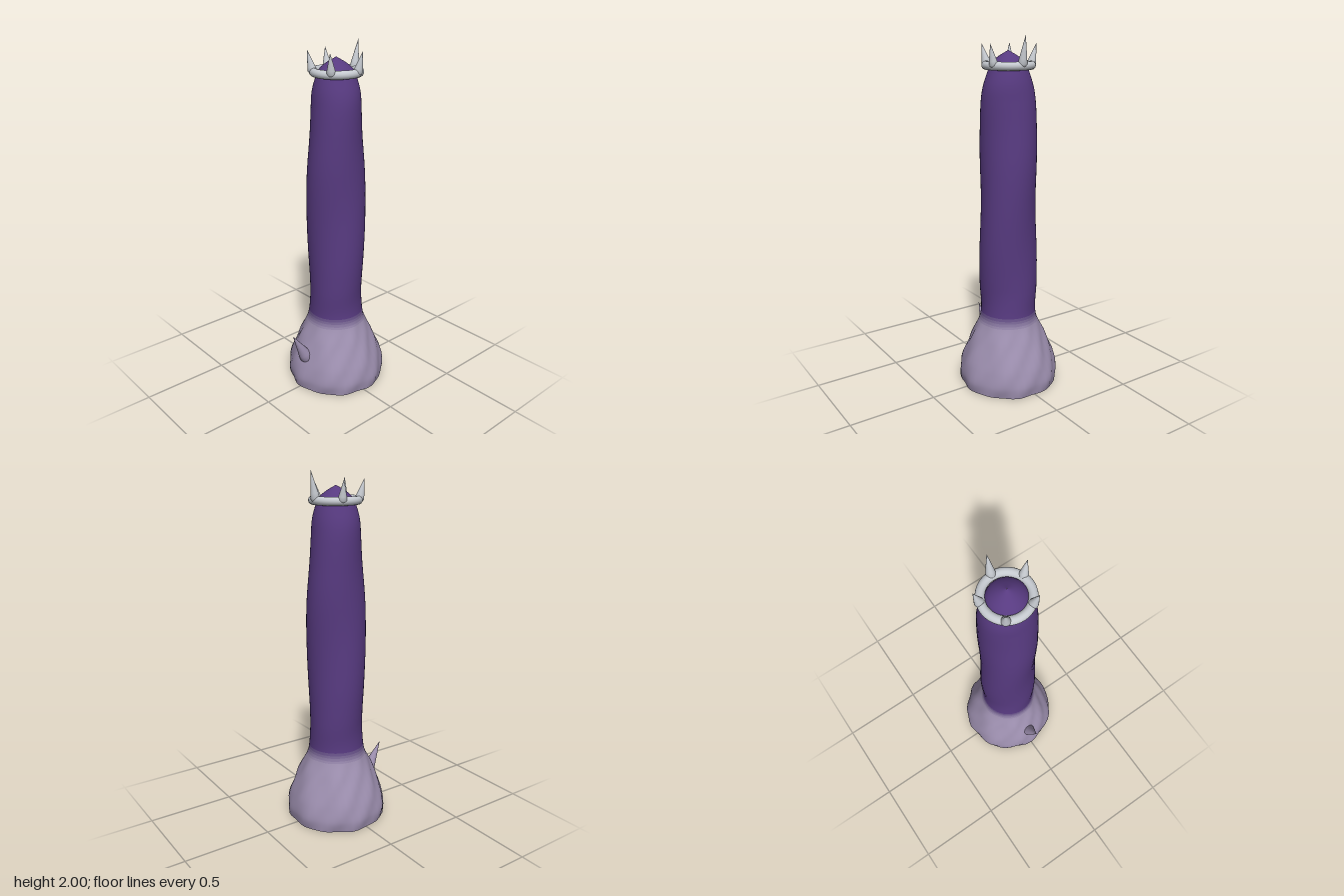
import * as THREE from 'three';

const mat = (color) => new THREE.MeshStandardMaterial({ color });
const SEG = 48;
const AXIS_Z = -0.022;

// Outline of the whole body: radius, height
const outline = new THREE.SplineCurve([
  [0.28, 0], [0.287, 0.06], [0.274, 0.13], [0.25, 0.2], [0.212, 0.29], [0.176, 0.37],
  [0.162, 0.42], [0.157, 0.5], [0.16, 0.65], [0.162, 0.8], [0.161, 1.05], [0.16, 1.3],
  [0.151, 1.5], [0.143, 1.65], [0.132, 1.74], [0.108, 1.82], [0.092, 1.855],
  [0.055, 1.888], [0.001, 1.92],
].map(([r, y]) => new THREE.Vector2(r, y)));

// Lumps on the foot, and a two-sided twist along the shaft
function surfaceRadius(r, y, a) {
  const foot = 1 - THREE.MathUtils.smoothstep(y, 0.25, 0.45);
  const lumps = 0.004 * Math.sin(7 * a + 9 * y) + 0.004 * Math.sin(11 * a - 30 * y + 1);
  const shaft = THREE.MathUtils.smoothstep(y, 0.4, 0.6) * (1 - THREE.MathUtils.smoothstep(y, 1.65, 1.85));
  const twist = 0.007 * Math.cos(2 * (a - Math.PI * (y - 0.8)));
  return r + foot * lumps + shaft * twist;
}

function addBody(group) {
  const rows = outline.getPoints(144);
  const pos = [];
  for (const p of rows) {
    for (let j = 0; j < SEG; j++) {
      const a = (j / SEG) * Math.PI * 2;
      const r = surfaceRadius(p.x, p.y, a);
      pos.push(r * Math.cos(a), Math.max(0, p.y), AXIS_Z - r * Math.sin(a));
    }
  }
  const strip = (keep) => {
    const index = [];
    for (let i = 0; i < rows.length - 1; i++) {
      if (!keep((rows[i].y + rows[i + 1].y) / 2)) continue;
      for (let j = 0; j < SEG; j++) {
        const k = (j + 1) % SEG;
        const a = i * SEG + j, b = i * SEG + k, c = a + SEG, d = b + SEG;
        index.push(a, b, d, a, d, c);
      }
    }
    return index;
  };
  const whole = new THREE.BufferGeometry();
  whole.setAttribute('position', new THREE.Float32BufferAttribute(pos, 3));
  whole.setIndex(strip(() => true));
  whole.computeVertexNormals();

  // Bands share positions and normals, so the colour fades without a crease
  const light = new THREE.Color(0x9c8eae), dark = new THREE.Color(0x573a80);
  const limits = [-1, 0.375, 0.39, 0.405, 0.42, 0.435, 3];
  for (let n = 0; n < limits.length - 1; n++) {
    const geo = new THREE.BufferGeometry();
    geo.setAttribute('position', whole.attributes.position);
    geo.setAttribute('normal', whole.attributes.normal);
    const index = strip((y) => y >= limits[n] && y < limits[n + 1]);
    if (!index.length) continue;
    geo.setIndex(index);
    const mesh = new THREE.Mesh(geo, mat(light.clone().lerp(dark, n / (limits.length - 2))));
    mesh.name = n === 0 ? 'foot' : n === limits.length - 2 ? 'shaft' : 'fadeBand' + n;
    group.add(mesh);
  }

  // Underside
  const base = new THREE.Mesh(new THREE.CircleGeometry(0.28, SEG), mat(0x9c8eae));
  base.rotation.x = Math.PI / 2;
  base.position.set(0, 0.006, AXIS_Z);
  base.name = 'underside';
  group.add(base);
}

// Pointed spike standing between two points
function spike(from, to, radius, color, name) {
  const a = new THREE.Vector3(...from), b = new THREE.Vector3(...to);
  const dir = b.clone().sub(a), h = dir.length();
  const profile = [[0, 0], [0.75, 0.03], [1, 0.12], [0.85, 0.28], [0.45, 0.62], [0, 1]]
    .map(([r, t]) => new THREE.Vector2(r * radius, t * h));
  const mesh = new THREE.Mesh(new THREE.LatheGeometry(profile, 16), mat(color));
  mesh.position.copy(a);
  mesh.quaternion.setFromUnitVectors(new THREE.Vector3(0, 1, 0), dir.normalize());
  mesh.name = name;
  return mesh;
}

export function createModel() {
  const group = new THREE.Group();
  group.name = 'crownedTower';
  addBody(group);

  // Thorn on the front of the foot
  group.add(spike([0, 0.165, 0.2], [0, 0.36, 0.308], 0.04, 0x9c8eae, 'thorn'));

  // Crown: ring with five spikes, the back one tallest
  const crown = new THREE.Group();
  crown.name = 'crown';
  crown.position.set(0, 1.842, -0.025);
  const ring = new THREE.Mesh(new THREE.TorusGeometry(0.123, 0.023, 16, 48), mat(0xc6cad0));
  ring.rotation.x = Math.PI / 2;
  ring.name = 'crownRing';
  crown.add(ring);
  for (let i = 0; i < 5; i++) {
    const a = (i / 5) * Math.PI * 2;
    const s = Math.sin(a), c = -Math.cos(a);
    const top = i === 0 ? 0.158 : 0.115;
    crown.add(spike([0.125 * s, -0.006, 0.125 * c], [0.155 * s, top, 0.155 * c],
      0.025, 0xc6cad0, 'crownSpike' + (i + 1)));
  }
  group.add(crown);
  return group;
}
